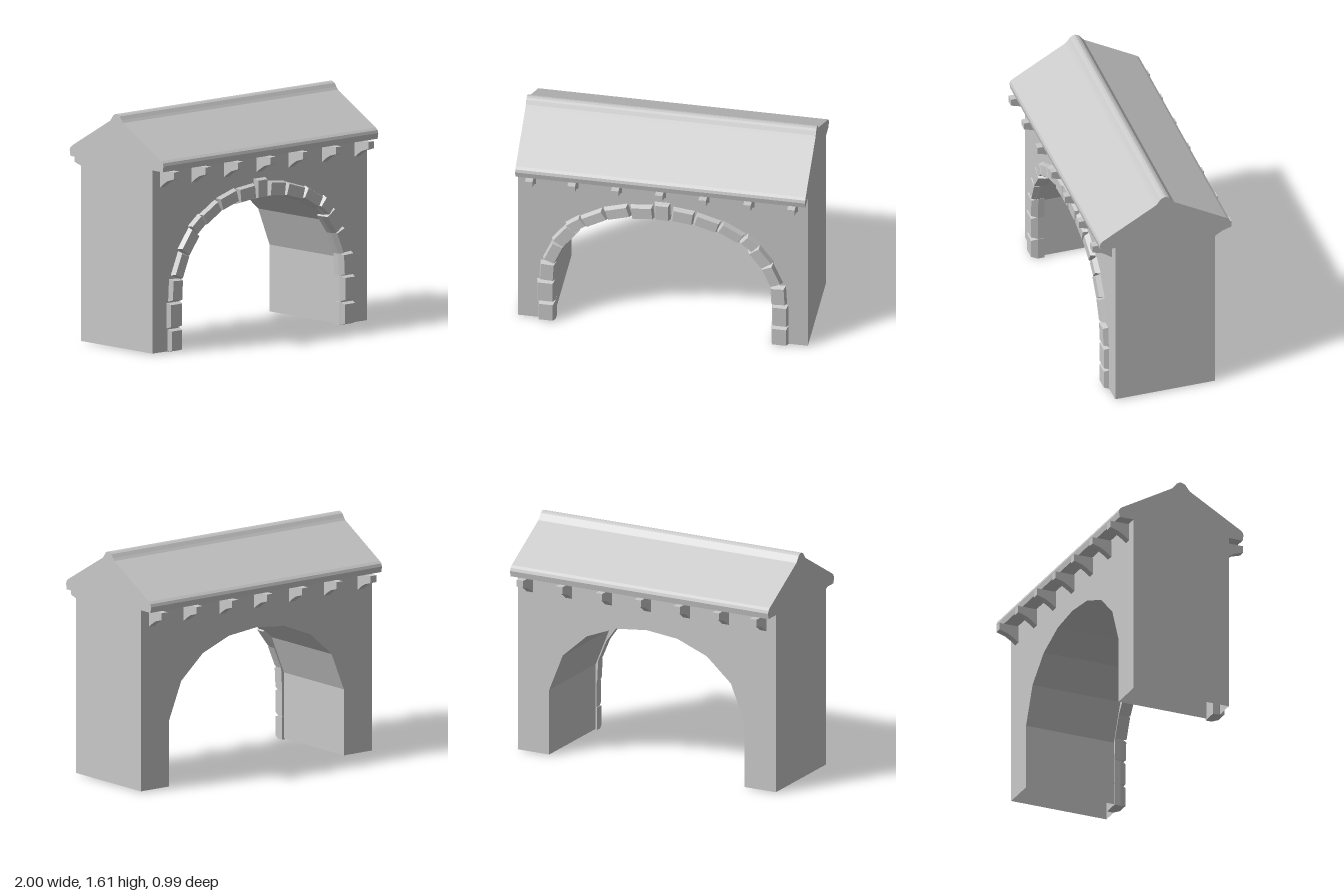
import * as THREE from 'three';

const stone = new THREE.MeshStandardMaterial({ color: 0xc8c8c8 });
stone.name = 'light grey';
const shell = new THREE.MeshStandardMaterial({ color: 0xc8c8c8, side: THREE.DoubleSide });
shell.name = 'light grey open shell';

const HALF = 0.998, DEPTH = 0.355, BASE = 0.01, EAVE = 1.27;

function add(parent, name, geometry, material = stone) {
  const mesh = new THREE.Mesh(geometry, material);
  mesh.name = name;
  parent.add(mesh);
  return mesh;
}

const toShape = (pts) => new THREE.Shape(pts.map(([x, y]) => new THREE.Vector2(x, y)));

// Extrudes a (z, y) profile along x, centred on x = 0
function extrudeAlongX(pts, width) {
  const geo = new THREE.ExtrudeGeometry(toShape(pts), { depth: width, bevelEnabled: false });
  return geo.translate(0, 0, -width / 2).rotateY(-Math.PI / 2);
}

// Band of quads running front to back along a polyline
function band(pts) {
  const pos = [];
  for (let i = 0; i < pts.length - 1; i++) {
    const [a, b] = [pts[i], pts[i + 1]];
    const af = [...a, DEPTH], ab = [...a, -DEPTH], bf = [...b, DEPTH], bb = [...b, -DEPTH];
    pos.push(...af, ...ab, ...bb, ...af, ...bb, ...bf);
  }
  const geo = new THREE.BufferGeometry();
  geo.setAttribute('position', new THREE.Float32BufferAttribute(pos, 3));
  geo.computeVertexNormals();
  return geo;
}

// Block whose front face is inset to form a chamfer
function archStone(length, width) {
  const depth = 0.09, inset = 0.014;
  let geo = new THREE.BoxGeometry(length, width, depth, 1, 1, 2);
  const p = geo.attributes.position;
  for (let i = 0; i < p.count; i++) {
    if (p.getZ(i) < depth / 2 - 0.001) continue;
    p.setX(i, p.getX(i) - Math.sign(p.getX(i)) * inset);
    p.setY(i, p.getY(i) - Math.sign(p.getY(i)) * inset);
  }
  geo = geo.toNonIndexed();
  geo.computeVertexNormals();
  return geo;
}

export function createModel() {
  const model = new THREE.Group();
  model.name = 'gatehouse';

  // Hollow wall, open underneath, pierced by a faceted arch
  const rightHalf = [[0.237, 0.985], [0.465, 0.895], [0.65, 0.73], [0.755, 0.47], [0.755, BASE]];
  const leftHalf = rightHalf.map(([x, y]) => [-x, y]).reverse();
  const arch = [...leftHalf, [0, 1.01], ...rightHalf];
  const wall = new THREE.Group();
  wall.name = 'wall';
  model.add(wall);
  const face = toShape([[-HALF, BASE], ...arch, [HALF, BASE], [HALF, EAVE], [-HALF, EAVE]]);
  add(wall, 'frontWall', new THREE.ShapeGeometry(face), shell).position.z = DEPTH;
  const back = add(wall, 'backWall', new THREE.ShapeGeometry(face), shell);
  back.position.z = -DEPTH;
  back.rotation.y = Math.PI;
  add(wall, 'archSoffit', band(arch), shell);
  add(wall, 'leftEndWall', band([[HALF, BASE], [HALF, EAVE]]), shell);
  add(wall, 'rightEndWall', band([[-HALF, EAVE], [-HALF, BASE]]), shell);

  // Gabled roof with rounded ridge and eaves
  const slope = [[0.458, EAVE], [0.465, 1.31], [0.458, 1.33], [0.44, 1.345], [0.065, 1.56],
    [0.05, 1.577], [0.032, 1.602], [0.016, 1.611]];
  const otherSlope = slope.map(([z, y]) => [-z, y]).reverse();
  add(model, 'roof', extrudeAlongX([...slope, [0, 1.615], ...otherSlope], HALF * 2));

  // Eave brackets on both long sides
  const bracketGeo = extrudeAlongX(
    [[0.34, 1.145], [0.355, 1.145], [0.39, 1.172], [0.43, 1.197], [0.495, 1.217], [0.495, 1.265], [0.34, 1.265]], 0.052);
  for (const x of [-0.9, -0.608, -0.308, -0.005, 0.295, 0.603, 0.905]) {
    add(model, 'frontBracket', bracketGeo).position.x = x;
    const b = add(model, 'backBracket', bracketGeo);
    b.position.x = x;
    b.rotation.y = Math.PI;
  }

  // Arch stones on the front: x, y, angle in degrees, length, width
  const stones = [
    [-0.8, 0.083, 90, 0.16, 0.122], [-0.805, 0.255, 90, 0.18, 0.13], [-0.793, 0.425, 87, 0.16, 0.115],
    [-0.75, 0.59, 67, 0.18, 0.1], [-0.672, 0.74, 53, 0.18, 0.11], [-0.593, 0.85, 38, 0.13, 0.1],
    [-0.47, 0.92, 30, 0.18, 0.1], [-0.31, 0.99, 17, 0.18, 0.105], [-0.14, 1.013, 6, 0.165, 0.115],
    [-0.003, 1.035, 0, 0.115, 0.145],
    [0.14, 1.015, -7, 0.16, 0.115], [0.305, 0.98, -17, 0.18, 0.105], [0.47, 0.92, -30, 0.18, 0.1],
    [0.603, 0.845, -41, 0.125, 0.1], [0.675, 0.735, -54, 0.17, 0.11], [0.75, 0.59, -67, 0.18, 0.1],
    [0.797, 0.425, -87, 0.16, 0.115], [0.808, 0.255, -90, 0.18, 0.12], [0.806, 0.083, -90, 0.16, 0.122],
  ];
  const ring = new THREE.Group();
  ring.name = 'archStones';
  model.add(ring);
  stones.forEach(([x, y, angle, length, width], i) => {
    const block = add(ring, i === 9 ? 'keystone' : 'archStone', archStone(length, width));
    block.position.set(x, y, 0.345);
    block.rotation.z = THREE.MathUtils.degToRad(angle);
  });
  return model;
}
